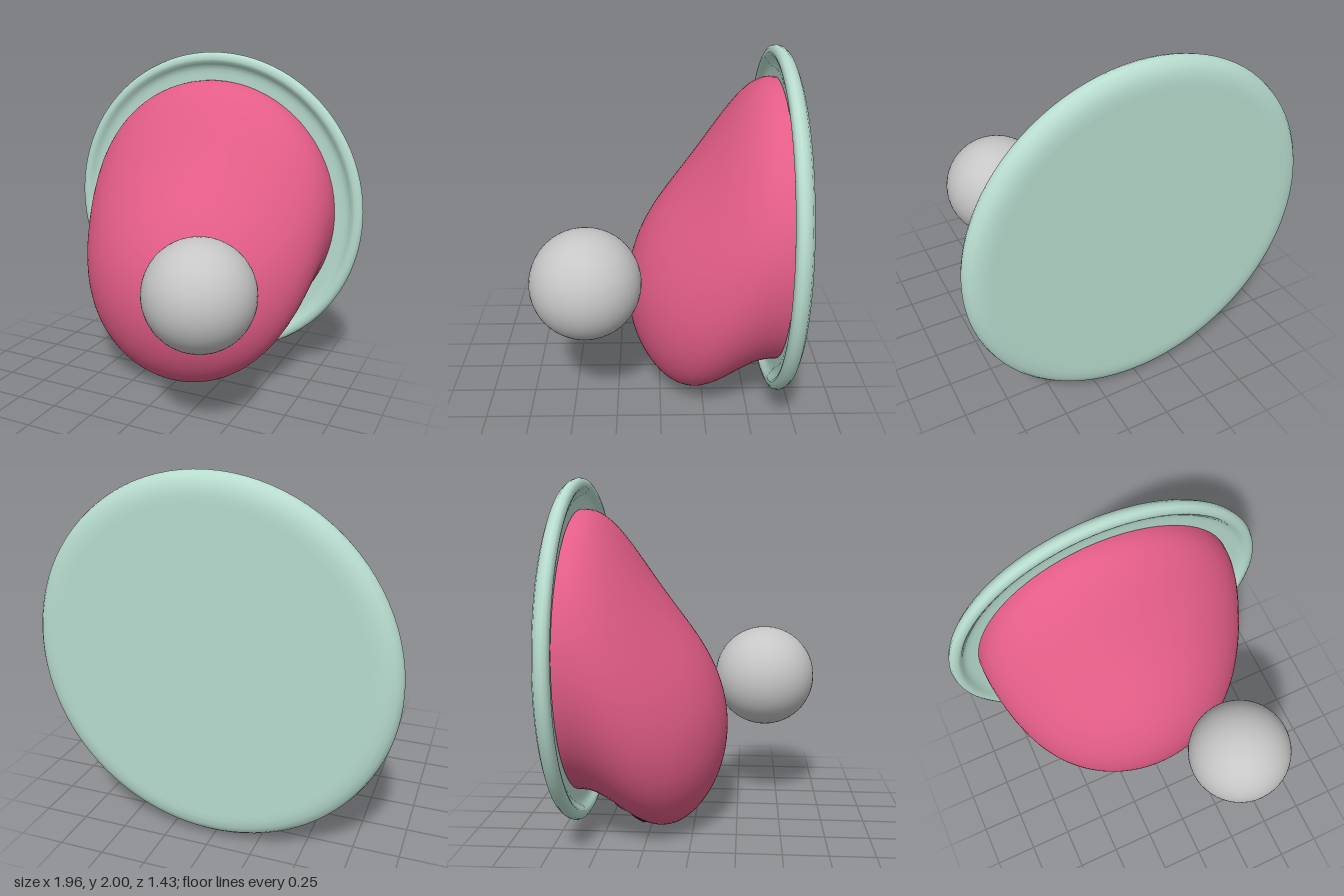
import * as THREE from 'three';
import { mergeVertices } from 'three/addons/utils/BufferGeometryUtils.js';

const R = 0.81, CY = 1.02, BASE = -0.62;

const material = (name, color) => {
  const m = new THREE.MeshStandardMaterial({ color });
  m.name = name;
  return m;
};

// Downward sag of the dome's cross-sections as they leave the plate
const sag = (z) => {
  const t = Math.max(0, z - BASE);
  return -0.45 * (1 - Math.exp(-((t / 0.37) ** 2)));
};

// Height of the dome's underside at a given x and z
const underside = (x, z) =>
  CY + sag(z) - Math.sqrt(Math.max(0, R * R - (z - BASE) ** 2 - x * x));

function smooth(geometry) {
  geometry.deleteAttribute('normal');
  geometry.deleteAttribute('uv');
  const g = mergeVertices(geometry, 1e-5);
  g.computeVertexNormals();
  return g;
}

// Dome: a half sphere facing +z, sheared downwards
function domeGeometry() {
  const g = new THREE.SphereGeometry(R, 72, 56, 0, Math.PI * 2, 0, Math.PI * 0.51);
  g.rotateX(Math.PI / 2);
  g.translate(0, CY, BASE);
  const p = g.attributes.position;
  for (let i = 0; i < p.count; i++) p.setY(i, p.getY(i) + sag(p.getZ(i)));
  return smooth(g);
}

// Plate: flat back, rounded edge, raised rim and shallow floor
function plateGeometry() {
  const profile = [
    [0, -0.715], [0.84, -0.715], [0.88, -0.714], [0.92, -0.708], [0.955, -0.692],
    [0.975, -0.668], [0.982, -0.645], [0.976, -0.626], [0.96, -0.616], [0.94, -0.613],
    [0.925, -0.617], [0.91, -0.63], [0.895, -0.641], [0.875, -0.647], [0.85, -0.649],
    [0.8, -0.65], [0, -0.65],
  ].map(([r, z]) => new THREE.Vector2(r, z));
  const g = new THREE.LatheGeometry(profile, 96);
  g.rotateX(Math.PI / 2);
  g.translate(0, CY, 0);
  return g;
}

// Oval patch that hugs the underside, slightly domed
function patchGeometry(cx, cz, rx, rz, lift, bulge) {
  const g = new THREE.RingGeometry(0.001, 1, 32, 5);
  const p = g.attributes.position;
  for (let i = 0; i < p.count; i++) {
    const u = p.getX(i), v = p.getY(i);
    const x = cx + u * rx, z = cz + v * rz;
    const dome = bulge * Math.sqrt(Math.max(0, 1 - u * u - v * v));
    p.setXYZ(i, x, underside(x, z) - lift - dome, z);
  }
  return smooth(g);
}

// Mouth: two small humps following the underside
function mouthGeometry() {
  const points = [];
  for (let i = 0; i <= 24; i++) {
    const s = i / 12 - 1;
    const x = s * 0.075;
    const z = -0.365 - 0.035 * Math.abs(Math.sin(s * Math.PI));
    points.push(new THREE.Vector3(x, underside(x, z) - 0.004, z));
  }
  return new THREE.TubeGeometry(new THREE.CatmullRomCurve3(points), 48, 0.011, 8, false);
}

export function createModel() {
  const model = new THREE.Group();
  const pink = material('pink', 0xe35d87);
  const mint = material('mint', 0xb8dccf);
  const grey = material('grey', 0xc6c6c6);
  const black = material('black', 0x1c1a1c);
  const white = material('white', 0xffffff);
  const blush = material('blush', 0xf0819d);

  const add = (name, geometry, mat) => {
    const mesh = new THREE.Mesh(geometry, mat);
    mesh.name = name;
    model.add(mesh);
    return mesh;
  };

  add('plate', plateGeometry(), mint);
  add('dome', domeGeometry(), pink);
  add('ball', new THREE.SphereGeometry(0.307, 48, 32), grey).position.set(0.385, 0.803, 0.41);

  // Face on the underside
  for (const [side, s] of [['left', 1], ['right', -1]]) {
    add(side + 'Eye', patchGeometry(s * 0.21, -0.315, 0.045, 0.052, 0.003, 0.016), black);
    add(side + 'EyeShine', patchGeometry(s * 0.21 + 0.008, -0.297, 0.017, 0.017, 0.021, 0.002), white);
    add(side + 'EyeGlint', patchGeometry(s * 0.21 - 0.01, -0.34, 0.009, 0.009, 0.019, 0.001), white);
    add(side + 'Cheek', patchGeometry(s * 0.37, -0.395, 0.045, 0.03, 0.003, 0.003), blush);
  }
  add('mouth', mouthGeometry(), black);

  return model;
}
